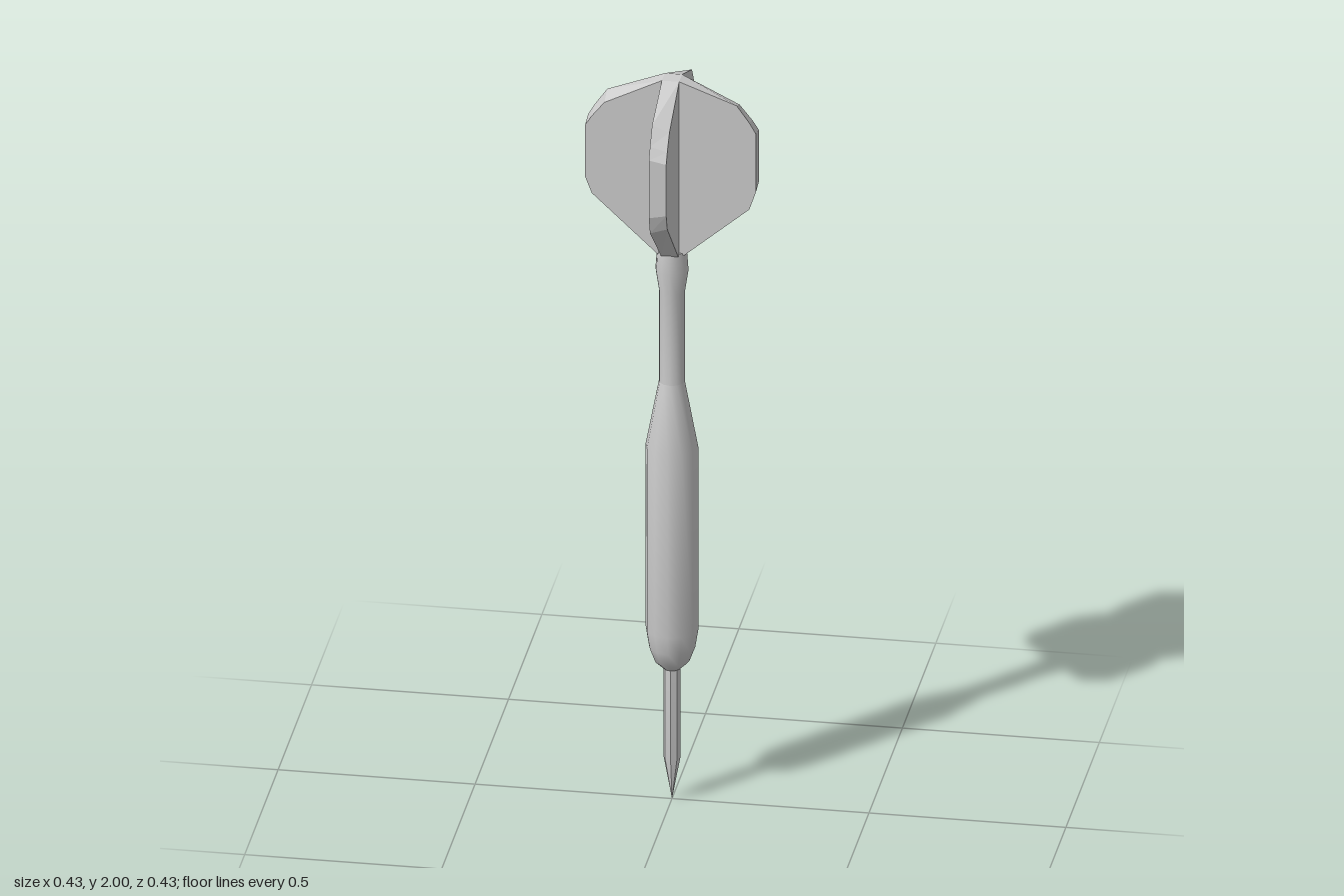
import * as THREE from 'three';
import { toCreasedNormals } from 'three/addons/utils/BufferGeometryUtils.js';

const grey = new THREE.MeshStandardMaterial({ color: 0xcccccc });
grey.name = 'plainGrey';

// Turned part from [radius, height] pairs listed bottom to top
function turned(name, profile, sides, crease) {
  const points = profile.map(([r, y]) => new THREE.Vector2(r, y));
  const geometry = toCreasedNormals(new THREE.LatheGeometry(points, sides), crease);
  const mesh = new THREE.Mesh(geometry, grey);
  mesh.name = name;
  return mesh;
}

// Thick fin pointing along +x, with its rim slanted in towards the -z face
function finGeometry() {
  const half = 0.022;
  const outline = [
    [0, 1.52], [0.035, 1.52], [0.2, 1.66], [0.217, 1.71], [0.217, 1.87],
    [0.2, 1.9], [0.168, 1.945], [0.022, 2], [0, 2],
  ].map(([x, y]) => new THREE.Vector2(x, y));
  const geometry = new THREE.ExtrudeGeometry(new THREE.Shape(outline), {
    depth: half * 2, bevelEnabled: false,
  });
  geometry.translate(0, 0, -half);
  const p = geometry.attributes.position;
  for (let i = 0; i < p.count; i++) {
    if (p.getZ(i) < 0 && p.getX(i) > 0.1) p.setY(i, 1.79 + (p.getY(i) - 1.79) * 0.89);
  }
  geometry.computeVertexNormals();
  return geometry;
}

export function createModel() {
  const dart = new THREE.Group();
  dart.name = 'dart';

  // Needle
  dart.add(turned('point', [[0, 0], [0.022, 0.12], [0.022, 0.38]], 8, 0.5));

  // Weighted barrel with rounded nose
  dart.add(turned('barrel', [
    [0, 0.362], [0.022, 0.364], [0.044, 0.385], [0.059, 0.425], [0.067, 0.475],
    [0.067, 0.98], [0.033, 1.16],
  ], 12, 0.7));

  // Slim shaft with swollen collar
  dart.add(turned('shaft', [
    [0.033, 1.16], [0.033, 1.41], [0.042, 1.47], [0.038, 1.525], [0, 1.525],
  ], 12, 0.7));

  // Four fins
  const flight = new THREE.Group();
  flight.name = 'flight';
  const geometry = finGeometry();
  for (let i = 0; i < 4; i++) {
    const fin = new THREE.Mesh(geometry, grey);
    fin.name = `fin${i + 1}`;
    fin.rotation.y = (i * Math.PI) / 2;
    flight.add(fin);
  }
  dart.add(flight);
  return dart;
}
